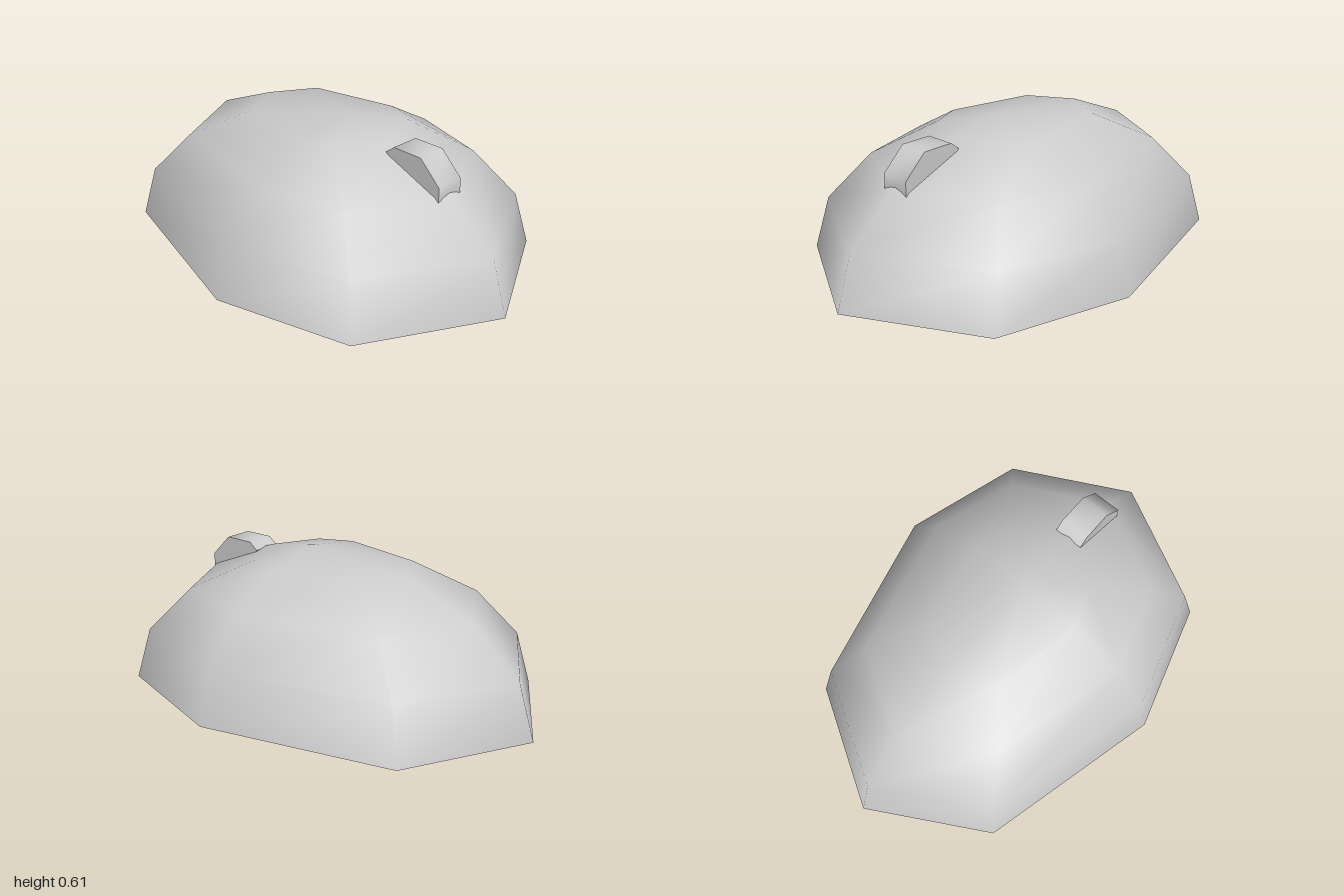
import * as THREE from 'three';
import { toCreasedNormals } from 'three/addons/utils/BufferGeometryUtils.js';

const SIDES = 8, RINGS = 4;
const WIDTH = 0.73, HEIGHT = 0.605, SHIFT = 0.12; // the widest line sits forward of centre

// One corner of a dome ring: k = 0 is the front tip, going round towards +x
function ringPoint(ring, k) {
  const lift = (ring / RINGS) * Math.PI / 2;
  const a = (k / SIDES) * Math.PI * 2;
  const s = Math.cos(lift);
  const frontDiagonal = k === 1 || k === 7;
  const x = Math.sin(a) * WIDTH * s * (frontDiagonal ? 1.085 : 1);
  const z = k === 2 || k === 6 ? SHIFT : Math.cos(a) * s;
  return [x, HEIGHT * Math.sin(lift), z];
}

function indexed(points, index) {
  const g = new THREE.BufferGeometry();
  g.setAttribute('position', new THREE.Float32BufferAttribute(points.flat(), 3));
  g.setIndex(index);
  g.computeVertexNormals();
  return g;
}

// Smooth eight-sided dome closed by a single peak
function domeGeometry() {
  const points = [], index = [];
  for (let r = 0; r < RINGS; r++) {
    for (let k = 0; k < SIDES; k++) {
      points.push(ringPoint(r, k));
      const a = r * SIDES + k, b = r * SIDES + (k + 1) % SIDES;
      if (r < RINGS - 1) index.push(a, b, b + SIDES, a, b + SIDES, a + SIDES);
      else index.push(a, b, RINGS * SIDES);
    }
  }
  points.push([0, HEIGHT, SHIFT]);
  return indexed(points, index);
}

// Flat underside
function baseGeometry() {
  const points = [], index = [];
  for (let k = 0; k < SIDES; k++) {
    points.push(ringPoint(0, k));
    if (k > 1) index.push(0, k, k - 1);
  }
  return indexed(points, index);
}

// Small bevelled block, its lower edge sunk into the dome
function blockGeometry() {
  const profile = [[0.69, 0.41], [0.69, 0.475], [0.59, 0.572], [0.45, 0.572], [0.41, 0.54], [0.42, 0.525]];
  const shape = new THREE.Shape(profile.map(([z, y]) => new THREE.Vector2(z, y)));
  const g = new THREE.ExtrudeGeometry(shape, { depth: 0.132, bevelEnabled: false });
  g.translate(0, 0, -0.066);
  g.rotateY(-Math.PI / 2);
  return toCreasedNormals(g, 0.95);
}

export function createModel() {
  const group = new THREE.Group();
  group.name = 'domeWithBlock';
  const grey = new THREE.MeshStandardMaterial({ color: 0xcccccc });
  grey.name = 'light grey';

  const add = (name, geometry) => {
    const mesh = new THREE.Mesh(geometry, grey);
    mesh.name = name;
    group.add(mesh);
  };
  add('domeShell', domeGeometry());
  add('domeBase', baseGeometry());
  add('frontBlock', blockGeometry());
  return group;
}
